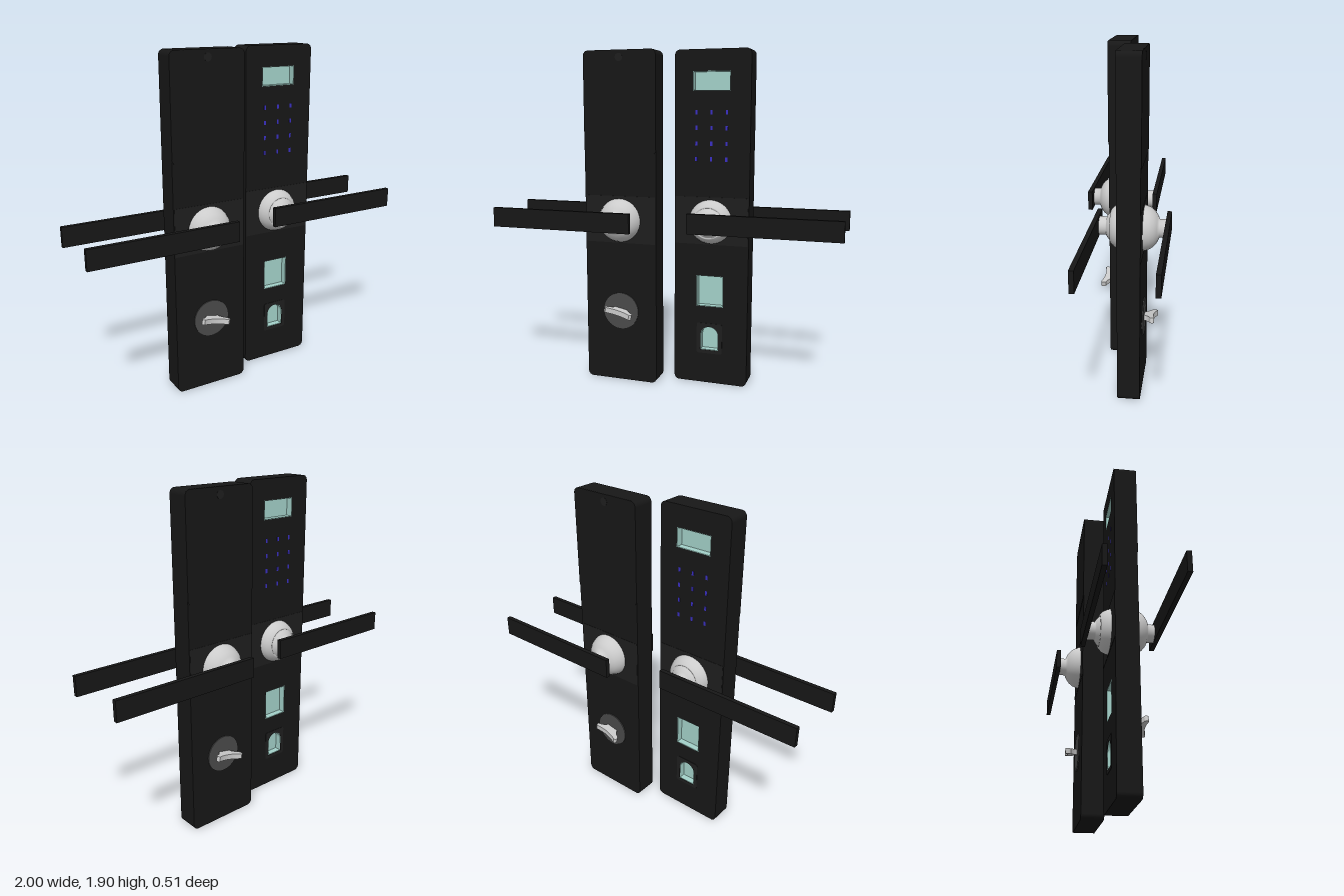
import * as THREE from 'three';

const mat = (color) => new THREE.MeshStandardMaterial({ color });
const BLACK = mat(0x171717), PANEL = mat(0x1e1e1e), AQUA = mat(0xa3d1c9);
const METAL = mat(0xcccccc), DISC = mat(0x4a4a4a), INK = mat(0x3a2fc4);
const W = 0.43, H = 1.9, T = 0.124, POCKET = 0.04, WALL = 0.003;

function add(parent, name, geometry, material, x = 0, y = 0, z = 0) {
  const mesh = new THREE.Mesh(geometry, material);
  mesh.name = name;
  mesh.position.set(x, y, z);
  parent.add(mesh);
  return mesh;
}

const extrude = (shape, depth) =>
  new THREE.ExtrudeGeometry(shape, { depth, bevelEnabled: false, curveSegments: 12 });

// Rounded rectangle centred on (cx, cy)
function roundRect(cx, cy, w, h, r, Type = THREE.Shape) {
  const s = new Type(), a = w / 2 - r, b = h / 2 - r;
  s.absarc(cx + a, cy + b, r, 0, Math.PI / 2);
  s.absarc(cx - a, cy + b, r, Math.PI / 2, Math.PI);
  s.absarc(cx - a, cy - b, r, Math.PI, Math.PI * 1.5);
  s.absarc(cx + a, cy - b, r, Math.PI * 1.5, Math.PI * 2);
  s.closePath();
  return s;
}

// Window outlines, each able to grow by g
const rectWindow = (cx, cy, w, h) => (g, Type = THREE.Shape) => {
  const s = new Type(), a = w / 2 + g, b = h / 2 + g;
  s.moveTo(cx - a, cy - b);
  s.lineTo(cx + a, cy - b);
  s.lineTo(cx + a, cy + b);
  s.lineTo(cx - a, cy + b);
  s.closePath();
  return s;
};
const archWindow = (cx, y0, y1, r) => (g, Type = THREE.Shape) => {
  const s = new Type();
  s.moveTo(cx - r - g, y0 - g);
  s.lineTo(cx + r + g, y0 - g);
  s.absarc(cx, y1 - r, r + g, 0, Math.PI);
  s.closePath();
  return s;
};
const WINDOWS = [
  ['display', rectWindow(-0.005, 1.73, 0.205, 0.1)],
  ['cardReader', rectWindow(-0.005, 0.548, 0.15, 0.175)],
  ['fingerprintReader', archWindow(-0.005, 0.2, 0.335, 0.05)],
];

// Dome and neck turned around z, standing on the plate face
function addKnob(side, profile) {
  const pts = profile.map(([r, h]) => new THREE.Vector2(r, h));
  const knob = add(side, 'knob', new THREE.LatheGeometry(pts, 48), METAL, -0.005, 0.95, T / 2);
  knob.rotation.x = Math.PI / 2;
}

// Flat lever reaching towards dir
function addLever(side, dir) {
  add(side, 'lever', new THREE.BoxGeometry(0.845, 0.112, 0.025), BLACK, dir * 0.3175, 0.955, 0.193);
}

function makeBody(unit) {
  const front = roundRect(0, H / 2, W, H, 0.03);
  WINDOWS.forEach(([, outline]) => front.holes.push(outline(WALL, THREE.Path)));
  add(unit, 'frontShell', extrude(front, POCKET), BLACK, 0, 0, T / 2 - POCKET);
  add(unit, 'backShell', extrude(roundRect(0, H / 2, W, H, 0.03), T - POCKET), BLACK, 0, 0, -T / 2);

  // Recessed windows: a thin wall ring and a floor
  WINDOWS.forEach(([name, outline]) => {
    const ring = outline(WALL);
    ring.holes.push(outline(0, THREE.Path));
    add(unit, name + 'Wall', extrude(ring, POCKET), AQUA, 0, 0, T / 2 - POCKET);
    add(unit, name + 'Floor', extrude(outline(0), 0.002), AQUA, 0, 0, T / 2 - POCKET);
  });
}

function makeKeypadSide(unit) {
  const side = new THREE.Group();
  side.name = 'keypadSide';
  unit.add(side);

  // Small marks for the twelve keys
  for (let row = 0; row < 4; row++) {
    for (let col = 0; col < 3; col++) {
      add(side, 'keyMark', new THREE.BoxGeometry(0.012, 0.024, 0.002), INK,
        -0.09 + col * 0.086, 1.56 - row * 0.086, T / 2);
    }
  }

  const surround = roundRect(-0.005, 0.267, 0.15, 0.18, 0.012);
  surround.holes.push(WINDOWS[2][1](WALL, THREE.Path));
  add(side, 'fingerprintSurround', extrude(surround, 0.002), PANEL, 0, 0, T / 2);
  add(side, 'knobPanel', new THREE.BoxGeometry(0.42, 0.27, 0.003), PANEL, 0, 0.955, T / 2);

  addKnob(side, [[0.125, 0], [0.122, 0.012], [0.112, 0.035], [0.092, 0.055], [0.086, 0.056],
    [0.083, 0.052], [0.078, 0.06], [0.06, 0.075], [0.05, 0.08], [0.05, 0.122]]);
  addLever(side, 1);
}

function makeThumbturnSide(unit) {
  const side = new THREE.Group();
  side.name = 'thumbturnSide';
  side.rotation.y = Math.PI;
  unit.add(side);

  // Battery cover with its release button
  add(side, 'batteryCover', extrude(roundRect(0, 1.612, W, 0.575, 0.03), 0.003), BLACK, 0, 0, T / 2);
  const button = add(side, 'coverButton', new THREE.CylinderGeometry(0.022, 0.022, 0.004, 24),
    PANEL, 0, 1.86, T / 2 + 0.002);
  button.rotation.x = Math.PI / 2;
  add(side, 'knobPanel', new THREE.BoxGeometry(0.42, 0.27, 0.003), PANEL, 0, 0.955, T / 2);

  addKnob(side, [[0.125, 0], [0.122, 0.012], [0.113, 0.035], [0.097, 0.056],
    [0.075, 0.073], [0.05, 0.084], [0.05, 0.122]]);
  addLever(side, -1);

  // Thumbturn: disc and a flared, tilted grip
  const turn = new THREE.Group();
  turn.name = 'thumbturn';
  turn.position.set(0, 0.418, T / 2);
  turn.rotation.z = -0.2;
  side.add(turn);
  const disc = add(turn, 'thumbturnDisc', new THREE.CylinderGeometry(0.106, 0.106, 0.012, 48), DISC);
  disc.rotation.x = Math.PI / 2;
  const grip = new THREE.Shape();
  grip.moveTo(-0.035, 0);
  grip.lineTo(0.035, 0);
  grip.quadraticCurveTo(0.045, 0.03, 0.08, 0.045);
  grip.quadraticCurveTo(0.095, 0.07, 0.075, 0.076);
  grip.quadraticCurveTo(0, 0.045, -0.075, 0.066);
  grip.quadraticCurveTo(-0.095, 0.058, -0.08, 0.042);
  grip.quadraticCurveTo(-0.045, 0.03, -0.035, 0);
  const bar = add(turn, 'thumbturnGrip', extrude(grip, 0.03), METAL, 0, 0.015, 0);
  bar.rotation.x = Math.PI / 2;
}

function makeUnit() {
  const unit = new THREE.Group();
  unit.name = 'lockUnit';
  makeBody(unit);
  makeKeypadSide(unit);
  makeThumbturnSide(unit);
  unit.position.set(0.255, 0, -0.045);
  unit.rotation.y = -0.033;
  return unit;
}

export function createModel() {
  const model = new THREE.Group();
  model.name = 'doorLockPair';
  // The same lock twice, the second turned to show its other side
  [0, Math.PI].forEach((turn, i) => {
    const holder = new THREE.Group();
    holder.name = i ? 'rightLock' : 'leftLock';
    holder.rotation.y = turn;
    holder.add(makeUnit());
    model.add(holder);
  });
  return model;
}
